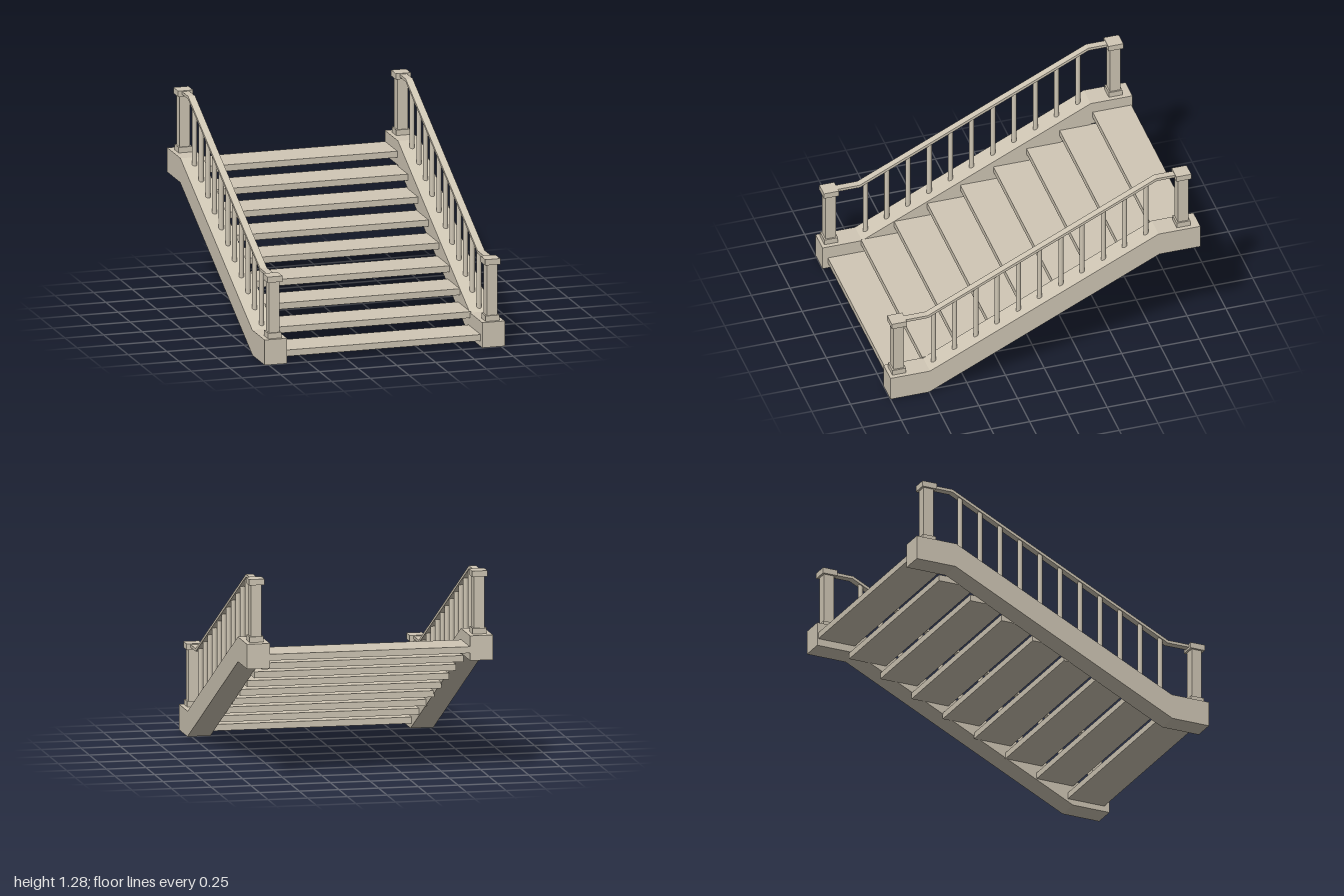
import * as THREE from 'three';

const material = new THREE.MeshStandardMaterial({ color: 0xd0c7b5, flatShading: true });
const roundMaterial = new THREE.MeshStandardMaterial({ color: 0xd0c7b5 });

const SIDE_X = 0.7025;                  // centre line of each stringer and railing
const SLOPE = (0.885 - 0.16) / 1.475;   // rise per unit of run
const slopeY = (y0, z) => y0 + (0.745 - z) * SLOPE;

function add(parent, name, geometry, x = 0, y = 0, z = 0, mat = material) {
  const mesh = new THREE.Mesh(geometry, mat);
  mesh.name = name;
  mesh.position.set(x, y, z);
  parent.add(mesh);
  return mesh;
}

// Extrude a [z, y] side profile across x, centred on x = 0
function sideProfile(points, width) {
  const shape = new THREE.Shape(points.map(([z, y]) => new THREE.Vector2(-z, y)));
  const geometry = new THREE.ExtrudeGeometry(shape, { depth: width, bevelEnabled: false });
  return geometry.translate(0, 0, -width / 2).rotateY(Math.PI / 2);
}

// Square newel post: base, shaft and cap
function newelPost(name, y, z) {
  const post = new THREE.Group();
  post.name = name;
  const block = (part, w, y0, y1) =>
    add(post, part, new THREE.BoxGeometry(w, y1 - y0, w), 0, (y0 + y1) / 2, 0);
  block('postBase', 0.088, 0, 0.035);
  block('postShaft', 0.068, 0.035, 0.36);
  block('postCap', 0.097, 0.358, 0.395);
  post.position.set(0, y, z);
  return post;
}

// Stringer with its complete railing
function stairSide(name, x) {
  const side = new THREE.Group();
  side.name = name;
  side.position.x = x;

  add(side, 'stringer', sideProfile([
    [1, 0], [0.75, 0], [-0.735, 0.73], [-1, 0.73],
    [-1, 0.885], [-0.73, 0.885], [0.745, 0.16], [1, 0.16],
  ], 0.145));

  side.add(newelPost('frontPost', 0.16, 0.935), newelPost('backPost', 0.885, -0.9));

  add(side, 'handrail', sideProfile([
    [0.91, 0.532], [0.742, 0.532], [-0.733, 1.257], [-0.88, 1.257],
    [-0.88, 1.275], [-0.73, 1.275], [0.745, 0.55], [0.91, 0.55],
  ], 0.045));

  // Balusters run from the stringer's slope into the rail
  for (let i = 0; i < 11; i++) {
    const z = 0.7 - i * 0.137;
    const bottom = slopeY(0.145, z), top = slopeY(0.54, z);
    add(side, 'baluster', new THREE.CylinderGeometry(0.016, 0.016, top - bottom, 12),
      0, (bottom + top) / 2, z, roundMaterial);
  }
  return side;
}

export function createModel() {
  const stairs = new THREE.Group();
  stairs.name = 'staircase';

  stairs.add(stairSide('leftSide', SIDE_X), stairSide('rightSide', -SIDE_X));

  // Open treads
  for (let i = 0; i < 9; i++) {
    add(stairs, 'tread', new THREE.BoxGeometry(1.27, 0.04, 0.25),
      0, 0.056 + i * 0.0925, 0.84 - i * 0.2135);
  }
  return stairs;
}
